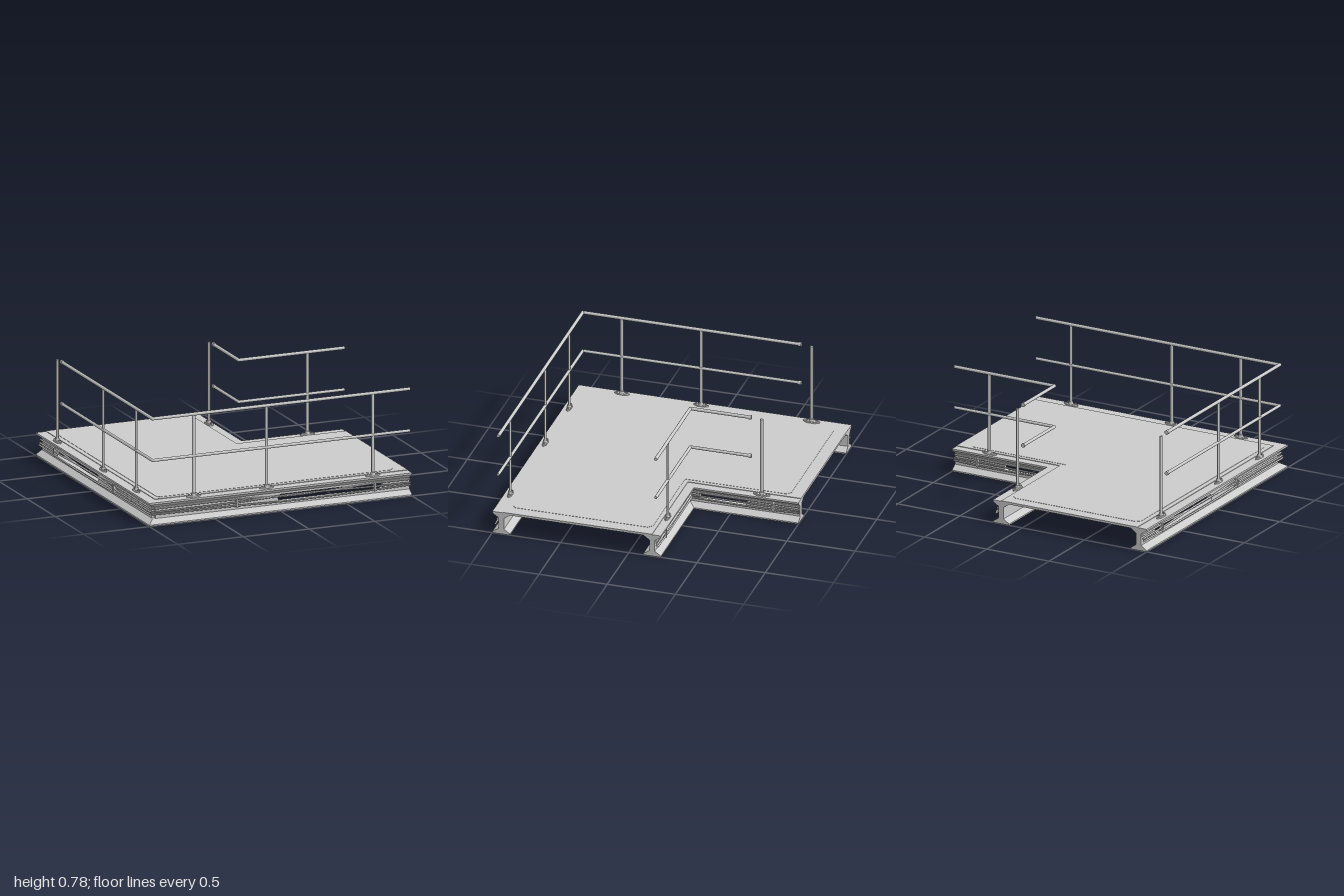
import * as THREE from 'three';

const mat = new THREE.MeshStandardMaterial({ color: 0xcccccc, side: THREE.DoubleSide });

// Every run follows an L. t = distance along, off = offset across; the second arm mirrors the first.
const at = (arm, t, y, off) => arm === 0 ? new THREE.Vector3(t, y, off) : new THREE.Vector3(-off, y, -t);

function add(parent, name, geometry, position, arm = 0) {
  const mesh = new THREE.Mesh(geometry, mat);
  mesh.name = name;
  if (position) mesh.position.copy(position);
  mesh.rotation.y = arm * Math.PI / 2;
  parent.add(mesh);
  return mesh;
}

// Convex profile [across, y] swept along the mitred L
function sweepL(profile, centre) {
  const pos = [];
  const rings = [0, 1, 2].map(k => profile.map(([u, y]) => {
    const o = centre + u;
    return [[1, y, o], [-o, y, o], [-o, y, -1]][k];
  }));
  const n = profile.length;
  for (let k = 0; k < 2; k++) {
    for (let i = 0; i < n; i++) {
      const j = (i + 1) % n;
      const a = rings[k][i], b = rings[k][j], c = rings[k + 1][j], d = rings[k + 1][i];
      pos.push(...a, ...b, ...c, ...a, ...c, ...d);
    }
  }
  for (let i = 1; i < n - 1; i++) {
    pos.push(...rings[0][0], ...rings[0][i + 1], ...rings[0][i]);
    pos.push(...rings[2][0], ...rings[2][i], ...rings[2][i + 1]);
  }
  const g = new THREE.BufferGeometry();
  g.setAttribute('position', new THREE.Float32BufferAttribute(pos, 3));
  g.computeVertexNormals();
  return g;
}

// Web plate with a long rounded slot, centred across its thickness
function webGeometry(t0, t1, s0, s1) {
  const shape = new THREE.Shape();
  shape.moveTo(t0, 0.035).lineTo(t1, 0.035).lineTo(t1, 0.135).lineTo(t0, 0.135).closePath();
  const r = 0.025, y = 0.085;
  const slot = new THREE.Path();
  slot.absarc(s0 + r, y, r, Math.PI / 2, Math.PI * 1.5, false);
  slot.absarc(s1 - r, y, r, -Math.PI / 2, Math.PI / 2, false);
  slot.closePath();
  shape.holes.push(slot);
  return new THREE.ExtrudeGeometry(shape, { depth: 0.04, bevelEnabled: false, curveSegments: 8 }).translate(0, 0, -0.02);
}

// Flat slab from [x, z] corners
function slab(points, bottom, top) {
  const shape = new THREE.Shape(points.map(([x, z]) => new THREE.Vector2(x, -z)));
  return new THREE.ExtrudeGeometry(shape, { depth: top - bottom, bevelEnabled: false })
    .rotateX(-Math.PI / 2).translate(0, bottom, 0);
}

function bar(parent, name, a, b, r) {
  const curve = new THREE.LineCurve3(a, b);
  const m = add(parent, name, new THREE.CylinderGeometry(r, r, curve.getLength(), 12), a.clone().lerp(b, 0.5));
  m.quaternion.setFromUnitVectors(new THREE.Vector3(0, 1, 0), b.clone().sub(a).normalize());
}

// I-beam: tapered flanges and slotted webs
function beam(name, centre, tStart, s0, s1) {
  const g = new THREE.Group();
  g.name = name;
  const foot = [[-0.065, 0], [0.065, 0], [0.065, 0.01], [0.02, 0.04], [-0.02, 0.04], [-0.065, 0.01]];
  const head = [[-0.02, 0.125], [0.02, 0.125], [0.065, 0.155], [0.065, 0.168], [-0.065, 0.168], [-0.065, 0.155]];
  add(g, 'bottomFlange', sweepL(foot, centre));
  add(g, 'topFlange', sweepL(head, centre));
  for (const arm of [0, 1]) {
    add(g, 'web', webGeometry(tStart, 1, s0, s1), at(arm, 0, 0, centre), arm);
  }
  return g;
}

// Handrail: two rails round the corner, posts on bolted feet
function railing(name, off, posts) {
  const g = new THREE.Group();
  g.name = name;
  for (const [y, r] of [[0.767, 0.012], [0.464, 0.011]]) {
    for (const arm of [0, 1]) {
      const end = arm === 0 ? 1 : 0.645;
      bar(g, 'rail', at(arm, -off, y, off), at(arm, end, y, off), r);
      if (arm === 1) bar(g, 'railSleeve', at(arm, end - 0.02, y, off), at(arm, end, y, off), r + 0.004);
    }
    add(g, 'railCorner', new THREE.SphereGeometry(r, 12, 8), at(0, -off, y, off));
  }
  for (const arm of [0, 1]) {
    for (const t of posts[arm]) {
      add(g, 'post', new THREE.CylinderGeometry(0.012, 0.012, 0.595, 12).scale(1.05, 1, 0.75), at(arm, t, 0.4675, off), arm);
      const wide = arm === 1 && t > 0.7;
      const plate = new THREE.CylinderGeometry(1, 1, 0.01, 6).rotateY(Math.PI / 2).scale(wide ? 0.062 : 0.055, 1, wide ? 0.024 : 0.019);
      add(g, 'postFoot', plate, at(arm, t, 0.173, off), arm);
      add(g, 'postSocket', new THREE.CylinderGeometry(0.015, 0.018, 0.02, 12), at(arm, t, 0.185, off));
      for (const d of [-0.035, 0.035]) {
        add(g, 'footBolt', new THREE.CylinderGeometry(0.007, 0.007, 0.01, 6), at(arm, t + d, 0.182, off));
      }
    }
  }
  return g;
}

// Three slack cables clipped to the outer side of the web
function cables(name, face, out, tStart, clips) {
  const g = new THREE.Group();
  g.name = name;
  const heights = [[0.113, 0.095, 0.113], [0.092, 0.105, 0.09], [0.07, 0.063, 0.076]];
  for (const arm of [0, 1]) {
    heights.forEach(([clipY, sagY, endY], i) => {
      const off = face + out * (0.01 + 0.006 * i);
      const stops = [[tStart, endY], ...clips.map(t => [t, clipY]), [1, endY]];
      if (clips.length > 1) stops.splice(2, 0, [(clips[0] + clips[1]) / 2 - 0.1, sagY]);
      const curve = new THREE.CatmullRomCurve3(stops.map(([t, y]) => at(arm, t, y, off)));
      add(g, 'cable', new THREE.TubeGeometry(curve, 40, 0.0065, 8, false));
    });
    for (const t of clips) {
      add(g, 'cableClip', new THREE.BoxGeometry(0.014, 0.062, 0.03), at(arm, t, 0.091, face + out * 0.015), arm);
    }
  }
  return g;
}

export function createModel() {
  const model = new THREE.Group();
  model.name = 'cornerWalkway';

  // Beams
  model.add(beam('outerBeam', 0.935, -0.935, 0, 0.8));
  model.add(beam('innerBeam', -0.17, 0.17, 0.26, 0.61));

  // L-shaped deck and its slightly raised tread panel
  add(model, 'deck', slab([[-0.925, 0.925], [1, 0.925], [1, -0.17], [0.17, -0.17], [0.17, -1], [-0.925, -1]], 0.155, 0.172));
  add(model, 'treadPanel', slab([
    [-0.89, 0.87], [-0.87, 0.89], [0.88, 0.89], [0.91, 0.86], [0.91, -0.11], [0.88, -0.14],
    [0.14, -0.14], [0.14, -0.88], [0.11, -0.91], [-0.86, -0.91], [-0.89, -0.88]], 0.17, 0.174));

  // Handrails
  model.add(railing('outerRailing', 0.957, [[-0.645, -0.09, 0.72], [-0.67, -0.09, 0.72]]));
  model.add(railing('innerRailing', -0.197, [[0.72], [0.72]]));

  // Cables along the webs
  model.add(cables('outerCables', 0.953, 1, -0.968, [-0.32, 0.73]));
  model.add(cables('innerCables', -0.188, -1, 0.2, [0.81]));

  return model;
}
